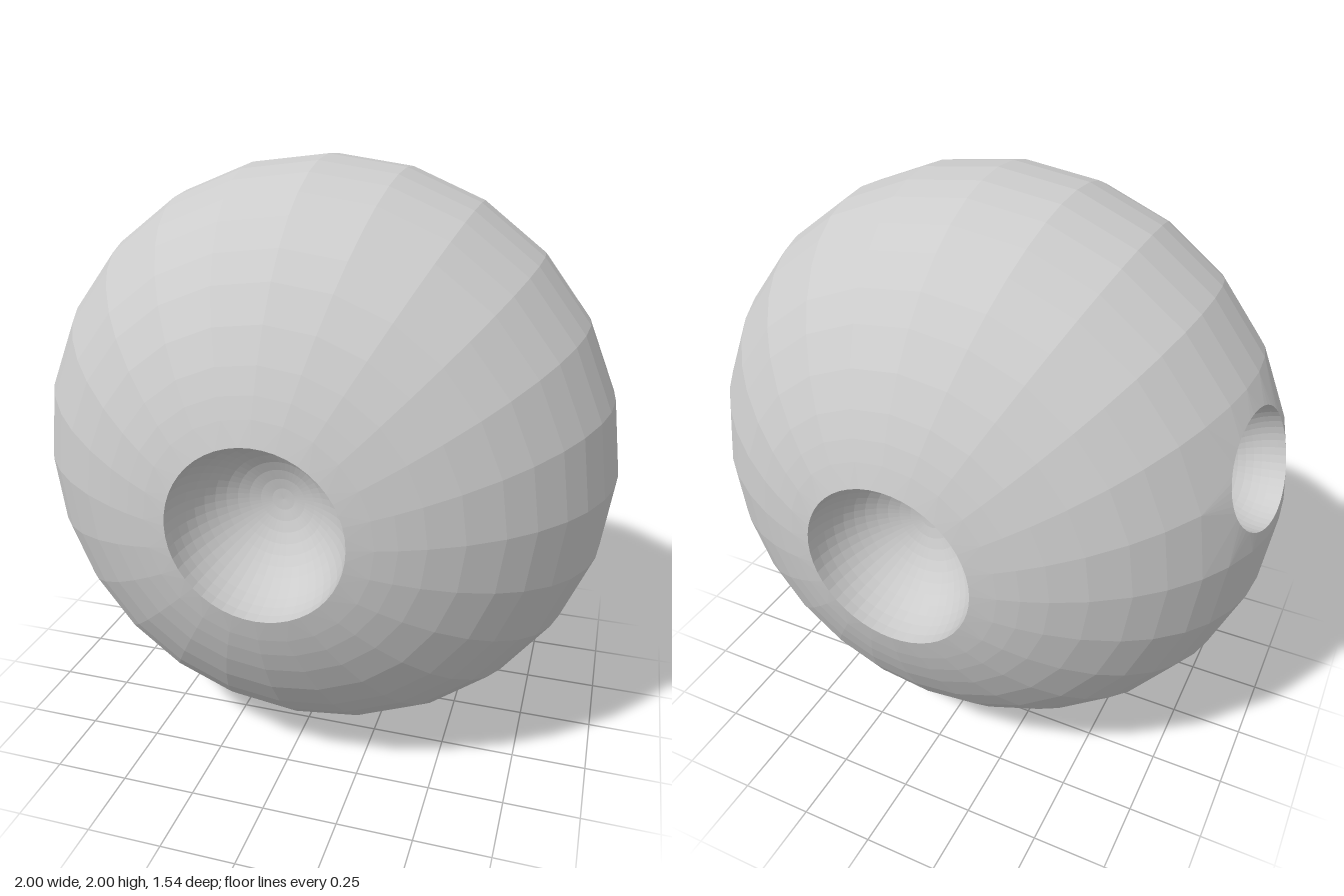
import * as THREE from 'three';
import { ConvexGeometry } from 'three/addons/geometries/ConvexGeometry.js';

const DEPTH = 0.8; // z radius of the ellipsoid; x and y radii are 1
const RIM = 48;
const v3 = (x, y, z) => new THREE.Vector3(x, y, z);

// A round socket: a point on its axis, outward axis and radius
function makeSocket(name, center, axis, radius) {
  const n = axis.clone().normalize();
  const u = v3(0, 1, 0).cross(n).normalize();
  const v = n.clone().cross(u);
  const rim = [];
  for (let i = 0; i < RIM; i++) {
    const a = (i / RIM) * Math.PI * 2;
    const radial = u.clone().multiplyScalar(Math.cos(a)).addScaledVector(v, Math.sin(a));
    const base = center.clone().addScaledVector(radial, radius);
    // slide the rim point along the axis until it lies on the ellipsoid
    const p = v3(base.x, base.y, base.z / DEPTH);
    const d = v3(n.x, n.y, n.z / DEPTH);
    const A = d.dot(d), B = p.dot(d), C = p.dot(p) - 1;
    const lift = (-B + Math.sqrt(B * B - A * C)) / A;
    rim.push({ radial, lift, point: base.addScaledVector(n, lift) });
  }
  return { name, center, n, radius, rim };
}

// Hemispherical bowl sunk inward from the rim
function bowlGeometry({ center, n, radius, rim }) {
  const rings = 12, pos = [], index = [];
  const meanLift = rim.reduce((s, p) => s + p.lift, 0) / RIM;
  for (let j = 0; j <= rings; j++) {
    const t = (j / rings) * Math.PI / 2, k = Math.cos(t);
    for (const { radial, lift } of rim) {
      const h = meanLift + (lift - meanLift) * k - radius * Math.sin(t);
      const p = center.clone().addScaledVector(radial, radius * k).addScaledVector(n, h);
      pos.push(p.x, p.y, p.z);
    }
  }
  for (let j = 0; j < rings; j++) {
    for (let i = 0; i < RIM; i++) {
      const a = j * RIM + i, b = j * RIM + (i + 1) % RIM;
      index.push(a, b, a + RIM);
      if (j < rings - 1) index.push(b, b + RIM, a + RIM);
    }
  }
  // winding runs anticlockwise seen from outside, so the bowl shows its inside
  const g = new THREE.BufferGeometry();
  g.setAttribute('position', new THREE.Float32BufferAttribute(pos, 3));
  g.setIndex(index);
  g.computeVertexNormals();
  return g;
}

// Faceted ellipsoid shell, open at every socket
function shellGeometry(sockets) {
  const points = sockets.flatMap((s) => s.rim.map((p) => p.point));
  for (const deg of [21, 25, 30, 37, 45, 52, 60, 67, 75, 82, 90, 98, 105, 113, 120, 128, 135, 143, 150, 155, 159]) {
    const lat = THREE.MathUtils.degToRad(deg);
    for (let i = 0; i < 24; i++) {
      const a = (i / 24) * Math.PI * 2, r = Math.sin(lat);
      const p = v3(r * Math.sin(a), r * Math.cos(a), DEPTH * Math.cos(lat));
      if (sockets.every((s) => p.distanceTo(s.center) > s.radius * 1.15)) points.push(p);
    }
  }
  const hull = new ConvexGeometry(points).getAttribute('position');
  const onRim = (p, s) => s.rim.some((q) => q.point.distanceTo(p) < 1e-4);
  const kept = [];
  for (let i = 0; i < hull.count; i += 3) {
    const tri = [0, 1, 2].map((k) => v3().fromBufferAttribute(hull, i + k));
    // drop the lids that close the sockets
    if (sockets.some((s) => tri.every((p) => onRim(p, s)))) continue;
    tri.forEach((p) => kept.push(p.x, p.y, p.z));
  }
  const g = new THREE.BufferGeometry();
  g.setAttribute('position', new THREE.Float32BufferAttribute(kept, 3));
  g.computeVertexNormals();
  return g;
}

export function createModel() {
  const model = new THREE.Group();
  model.name = 'socketedBall';
  const material = new THREE.MeshStandardMaterial({
    color: 0xcccccc, flatShading: true, side: THREE.DoubleSide,
  });

  const sockets = [
    makeSocket('frontSocket', v3(0, 0, 0.768), v3(0, 0, 1), 0.28),
    makeSocket('backSocket', v3(0, 0, -0.768), v3(0, 0, -1), 0.28),
    makeSocket('sideSocket', v3(-0.95, 0.24, -0.11), v3(-0.95, 0.24, -0.17), 0.195),
  ];

  const add = (name, geometry) => {
    const mesh = new THREE.Mesh(geometry, material);
    mesh.name = name;
    mesh.position.y = 1;
    model.add(mesh);
  };
  add('shell', shellGeometry(sockets));
  sockets.forEach((s) => add(s.name, bowlGeometry(s)));
  return model;
}
